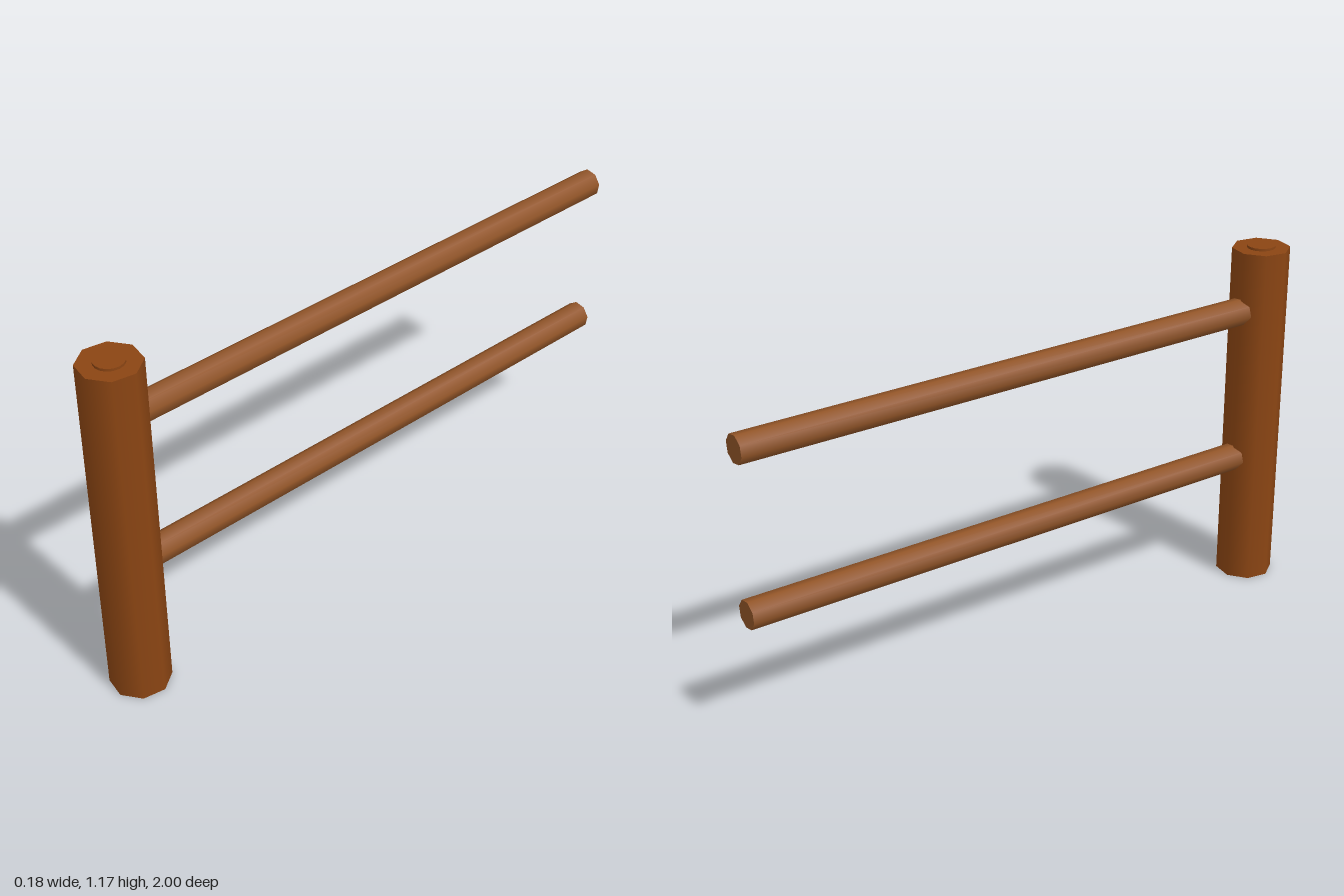
import * as THREE from 'three';

export function createModel() {
  const model = new THREE.Group();
  const postMat = new THREE.MeshStandardMaterial({ color: 0x8b4513 });
  const railMat = new THREE.MeshStandardMaterial({ color: 0x915427 });
  const POST_Z = 0.908, TWIST = 0.22;

  function add(name, geometry, material, x, y, z) {
    const mesh = new THREE.Mesh(geometry, material);
    mesh.name = name;
    mesh.position.set(x, y, z);
    model.add(mesh);
    return mesh;
  }

  // Upright eight-sided post, twisted slightly about its axis
  const post = add('post', new THREE.CylinderGeometry(0.0945, 0.0945, 1.162, 8), postMat, 0, 0.581, POST_Z);
  post.rotation.y = TWIST;

  // Low round peg on the post's top
  add('topPeg', new THREE.CylinderGeometry(0.046, 0.046, 0.04, 16), postMat, 0, 1.15, POST_Z);

  // Two rails running back from the middle of the post, a hair off straight
  const length = POST_Z + 1;
  const railGeo = new THREE.CylinderGeometry(0.0455, 0.0455, length, 8);
  railGeo.rotateY(TWIST).rotateX(Math.PI / 2);
  for (const [name, y] of [['lowerRail', 0.444], ['upperRail', 0.961]]) {
    const rail = add(name, railGeo, railMat, -0.001, y, POST_Z - length / 2);
    rail.rotation.y = -0.004;
  }

  return model;
}
